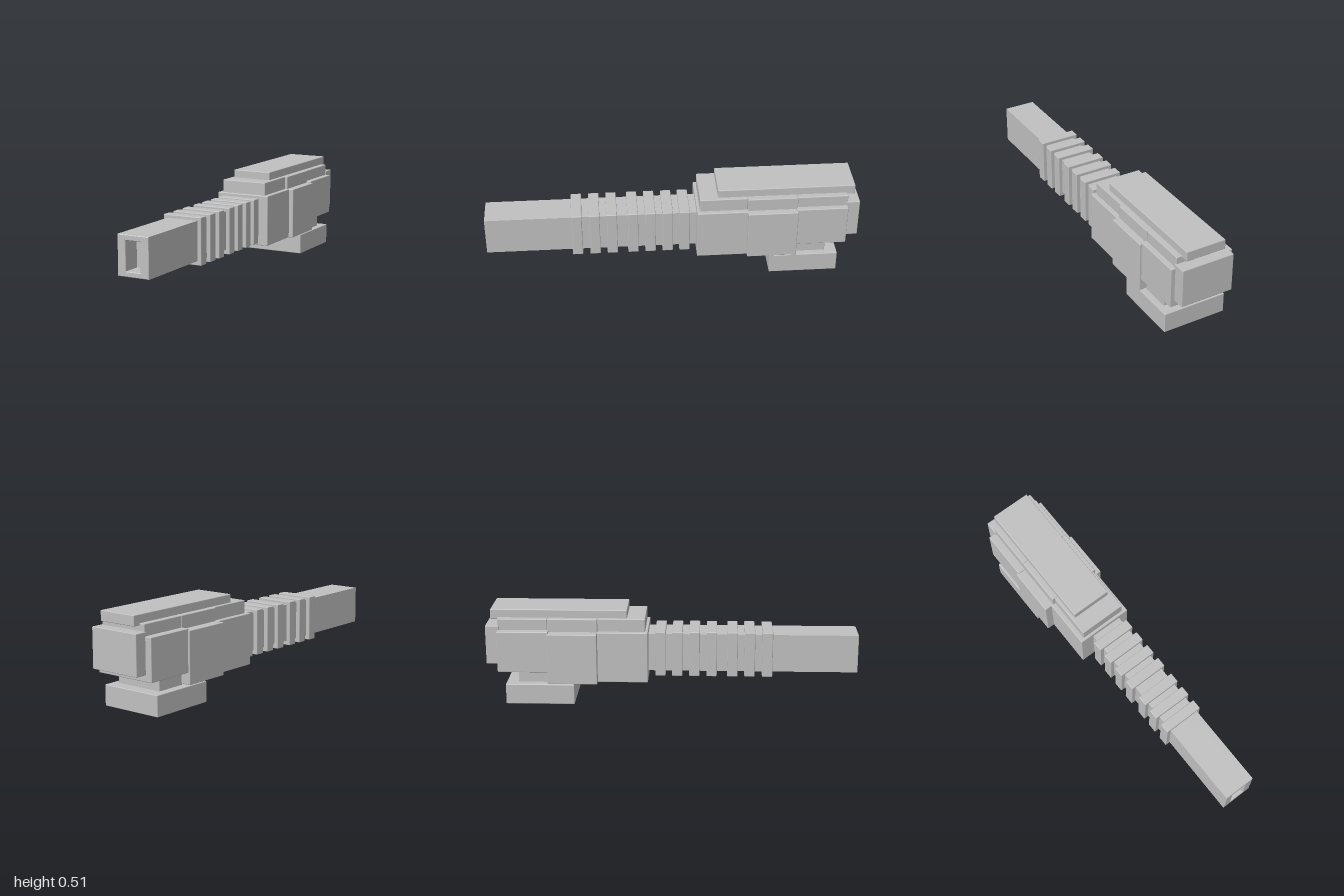
import * as THREE from 'three';
import { RoundedBoxGeometry } from 'three/addons/geometries/RoundedBoxGeometry.js';

export function createModel() {
  const group = new THREE.Group();
  const grey = new THREE.MeshStandardMaterial({ color: 0xc0c0c0 });
  grey.name = 'plain grey';

  // Slightly softened box given by its extents on each axis
  function block(name, [x0, x1], [y0, y1], [z0, z1], radius = 0.004) {
    const mesh = new THREE.Mesh(new RoundedBoxGeometry(x1 - x0, y1 - y0, z1 - z0, 2, radius), grey);
    mesh.position.set((x0 + x1) / 2, (y0 + y1) / 2, (z0 + z1) / 2);
    mesh.name = name;
    group.add(mesh);
    return mesh;
  }

  // Rectangle outline for shapes and holes
  function rectangle(Type, x0, x1, y0, y1) {
    return new Type([[x0, y0], [x1, y0], [x1, y1], [x0, y1]].map(p => new THREE.Vector2(...p)));
  }

  // Square barrel with a rectangular muzzle recess
  const bevel = 0.003;
  const outline = rectangle(THREE.Shape, -0.07, 0.105, 0.162, 0.369);
  outline.holes.push(rectangle(THREE.Path, -0.025, 0.058, 0.189, 0.341));
  const barrelGeometry = new THREE.ExtrudeGeometry(outline, {
    depth: 1.15 - 2 * bevel, bevelEnabled: true, bevelThickness: bevel,
    bevelSize: bevel, bevelOffset: -bevel, bevelSegments: 1,
  });
  const barrel = new THREE.Mesh(barrelGeometry, grey);
  barrel.position.z = -0.15 + bevel;
  barrel.name = 'barrel';
  group.add(barrel);
  block('muzzleRecessFloor', [-0.03, 0.063], [0.184, 0.346], [-0.14, 0.9]);

  // Cooling rings along the barrel
  for (const z of [0.512, 0.417, 0.324, 0.212, 0.119, 0.026, -0.065]) {
    block('barrelRing', [-0.093, 0.126], [0.138, 0.387], [z - 0.028, z + 0.028]);
  }

  // Main body in three stepped sections and an end cap
  block('frontBody', [-0.148, 0.162], [0.118, 0.396], [-0.41, -0.13]);
  block('middleBody', [-0.189, 0.187], [0.118, 0.396], [-0.667, -0.4]);
  block('rearBody', [-0.179, 0.176], [0.18, 0.405], [-0.935, -0.66]);
  block('endCap', [-0.142, 0.152], [0.214, 0.428], [-1, -0.925]);

  // Upper housing segments and the top slab
  block('frontHousing', [-0.123, 0.137], [0.385, 0.466], [-0.4, -0.145]);
  block('middleHousing', [-0.137, 0.15], [0.385, 0.466], [-0.667, -0.4]);
  block('rearHousing', [-0.137, 0.147], [0.39, 0.466], [-0.935, -0.667]);
  block('topSlab', [-0.106, 0.116], [0.455, 0.51], [-0.975, -0.242]);

  // Lower neck and foot block
  block('neck', [-0.132, 0.143], [0.1, 0.19], [-0.83, -0.66]);
  block('footBlock', [-0.177, 0.177], [0, 0.111], [-0.895, -0.525]);

  return group;
}
